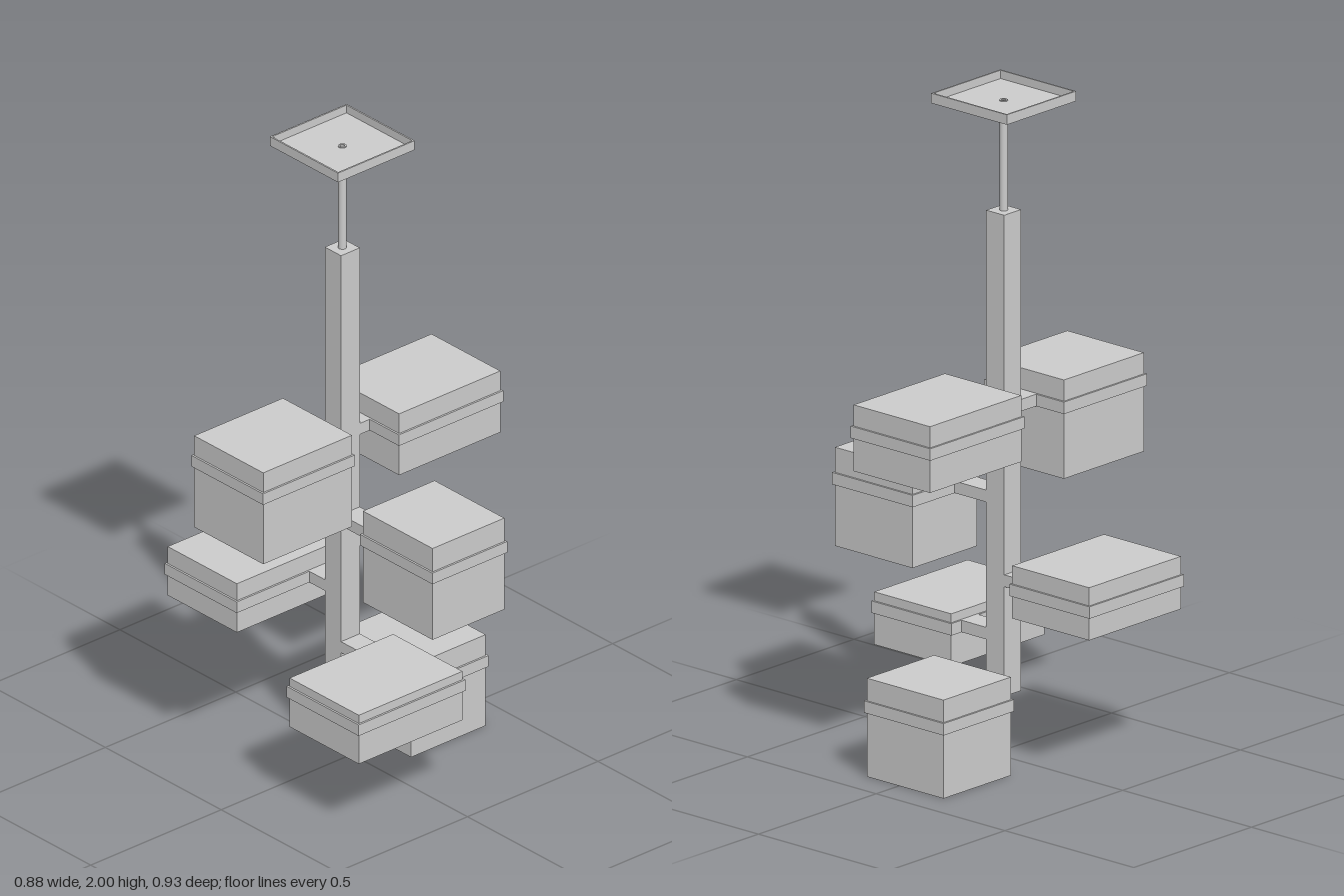
import * as THREE from 'three';

const material = new THREE.MeshStandardMaterial({ color: 0xcccccc, flatShading: true });
const smooth = new THREE.MeshStandardMaterial({ color: 0xcccccc, side: THREE.DoubleSide });

// Box given by its minimum and maximum on each axis
function block(name, [x0, x1], [y0, y1], [z0, z1]) {
  const mesh = new THREE.Mesh(new THREE.BoxGeometry(x1 - x0, y1 - y0, z1 - z0), material);
  mesh.position.set((x0 + x1) / 2, (y0 + y1) / 2, (z0 + z1) / 2);
  mesh.name = name;
  return mesh;
}

const POST_X = [-0.065, 0.005];
const POST_Z = [-0.027, 0.045];
const CX = -0.03, CZ = 0.009;
const BAND_H = 0.036, LIP = 0.006;

// Lamp shades: body extents, bottom of the band, and the side the arm leaves the post
const shades = [
  { name: 'frontUpperShade', x: [-0.167, 0.131], y: [0.838, 1.136], z: [0.115, 0.455], band: 1.036, side: '+z' },
  { name: 'backUpperShade', x: [-0.172, 0.125], y: [0.936, 1.136], z: [-0.459, -0.071], band: 1.036, side: '-z' },
  { name: 'leftUpperShade', x: [0.134, 0.435], y: [0.578, 0.876], z: [-0.199, 0.076], band: 0.764, side: '+x' },
  { name: 'rightShade', x: [-0.437, -0.138], y: [0.456, 0.615], z: [-0.073, 0.317], band: 0.524, side: '-x' },
  { name: 'leftLowerShade', x: [0.107, 0.406], y: [0.254, 0.413], z: [-0.064, 0.333], band: 0.35, side: '+x' },
  { name: 'backLowerShade', x: [-0.172, 0.126], y: [0, 0.297], z: [-0.402, -0.116], band: 0.193, side: '-z' },
];

function makeShade({ name, x, y, z, band, side }) {
  const group = new THREE.Group();
  group.name = name;
  const bandY = [band, band + BAND_H];
  const grow = ([a, b]) => [a - LIP, b + LIP];
  // Extent of the arm between the post and the shade
  const reach = (post, box) => side[0] === '+' ? [post[1], box[0]] : [box[1], post[0]];
  const armX = side[1] === 'x' ? reach(POST_X, x) : POST_X;
  const armZ = side[1] === 'z' ? reach(POST_Z, z) : POST_Z;
  group.add(
    block('shadeBody', x, y, z),
    block('shadeBand', grow(x), bandY, grow(z)),
    block('arm', armX, bandY, armZ),
  );
  return group;
}

// Shallow square tray, open at the top
function makeCanopy() {
  const group = new THREE.Group();
  group.name = 'ceilingCanopy';
  const h = 0.147, t = 0.005, y0 = 1.97, y1 = 2;
  const x = [CX - h, CX + h], z = [CZ - h, CZ + h];
  group.add(block('canopyFloor', x, [y0, y0 + t], z));
  for (const s of [-1, 1]) {
    const edge = (c) => [c + s * (h - t / 2) - t / 2, c + s * (h - t / 2) + t / 2];
    group.add(block('canopySide', edge(CX), [y0 + t, y1], z));
    group.add(block('canopyEnd', [x[0] + t, x[1] - t], [y0 + t, y1], edge(CZ)));
  }
  return group;
}

// Hollow hanging tube between post and canopy
function makeRod() {
  const outer = 0.012, inner = 0.007, bottom = 1.64, top = 1.978;
  const group = new THREE.Group();
  group.name = 'hangingRod';
  for (const r of [outer, inner]) {
    const wall = new THREE.Mesh(new THREE.CylinderGeometry(r, r, top - bottom, 24, 1, true), smooth);
    wall.name = 'rodWall';
    wall.position.set(CX, (top + bottom) / 2, CZ);
    group.add(wall);
  }
  const rim = new THREE.Mesh(new THREE.RingGeometry(inner, outer, 24), smooth);
  rim.name = 'rodRim';
  rim.rotation.x = -Math.PI / 2;
  rim.position.set(CX, top, CZ);
  group.add(rim);
  return group;
}

export function createModel() {
  const model = new THREE.Group();
  model.name = 'pendantLamp';
  model.add(makeCanopy(), makeRod(), block('post', POST_X, [0.193, 1.645], POST_Z));
  for (const shade of shades) model.add(makeShade(shade));
  return model;
}
